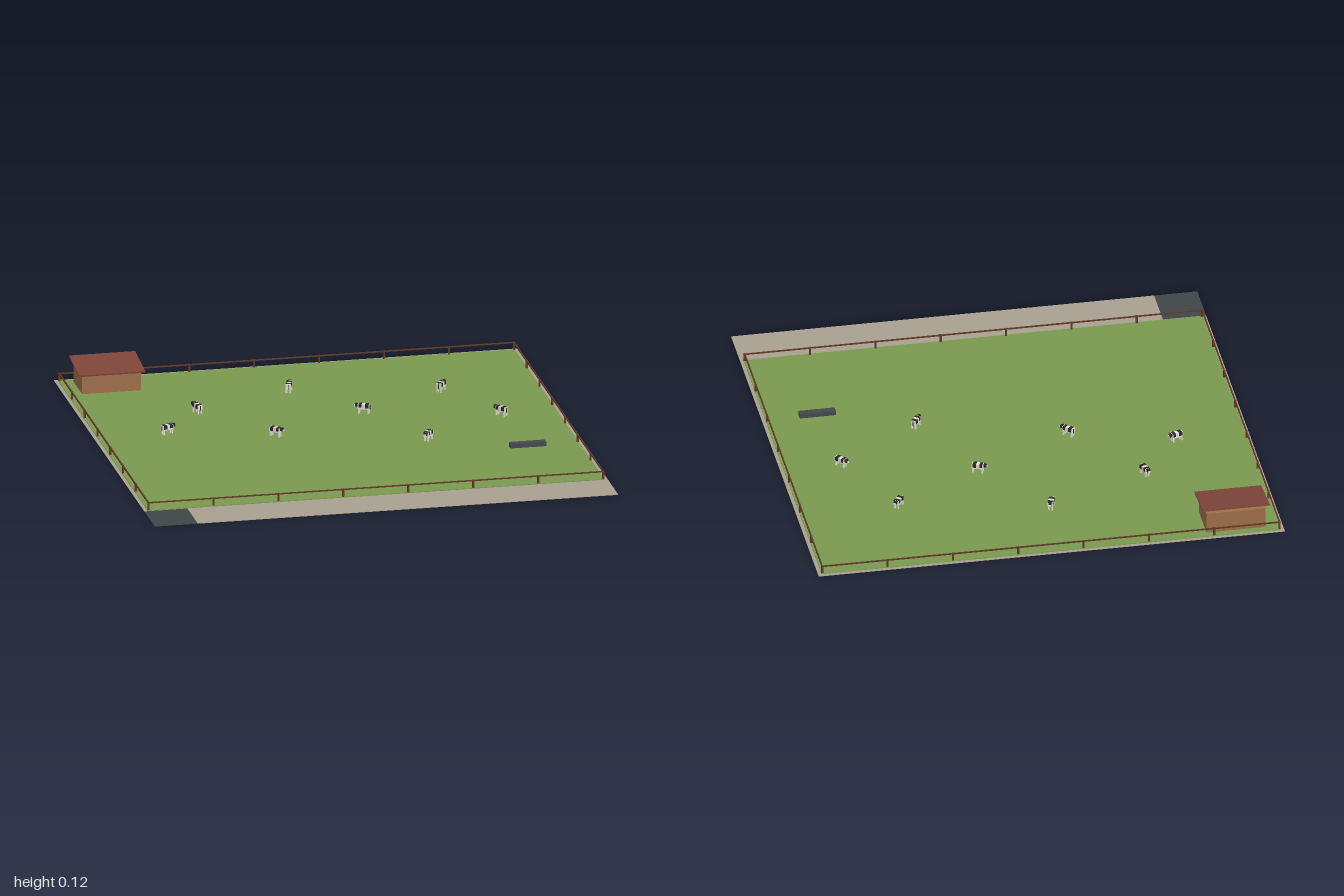
import * as THREE from 'three';

const mat = (name, color) => {
  const m = new THREE.MeshStandardMaterial({ color });
  m.name = name;
  return m;
};

export function createModel() {
  const gravel = mat('gravel', 0xa8a090);
  const grass = mat('grass', 0x7a994f);
  const slate = mat('slate', 0x3f4648);
  const wood = mat('barn wood', 0x9c6f48);
  const roofRed = mat('roof red', 0x7d4438);
  const fenceBrown = mat('fence brown', 0x5f3826);
  const troughGrey = mat('trough grey', 0x44474c);
  const white = mat('cow white', 0xe4e0d8);
  const black = mat('cow black', 0x2b2929);

  const model = new THREE.Group();
  model.name = 'pasture';

  // Box given by its lower and upper corners
  const box = (parent, name, material, [x0, y0, z0], [x1, y1, z1]) => {
    const mesh = new THREE.Mesh(new THREE.BoxGeometry(x1 - x0, y1 - y0, z1 - z0), material);
    mesh.position.set((x0 + x1) / 2, (y0 + y1) / 2, (z0 + z1) / 2);
    mesh.name = name;
    parent.add(mesh);
    return mesh;
  };
  const group = (name) => {
    const g = new THREE.Group();
    g.name = name;
    model.add(g);
    return g;
  };

  // Ground: gravel plate, dark corner pad and the raised lawn
  box(model, 'ground', gravel, [-1, 0, -1], [1, 0.002, 0.797]);
  box(model, 'frontTrack', gravel, [-0.815, 0, 0.797], [1, 0.002, 1]);
  box(model, 'cornerPad', slate, [-1, 0, 0.797], [-0.815, 0.002, 1]);
  box(model, 'lawn', grass, [-0.985, 0.002, -0.985], [0.985, 0.005, 0.795]);

  // Fence: a post at each of seven equal bays, one rail per side
  const fence = group('fence');
  const X = 0.981, Z0 = -0.979, Z1 = 0.789, bays = 7, t = 0.004;
  const post = (x, z) =>
    box(fence, 'fencePost', fenceBrown, [x - t, 0.002, z - t], [x + t, 0.04, z + t]);
  for (let i = 0; i <= bays; i++) {
    const x = -X + (2 * X * i) / bays;
    post(x, Z0);
    post(x, Z1);
    if (i > 0 && i < bays) {
      const z = Z0 + ((Z1 - Z0) * i) / bays;
      post(-X, z);
      post(X, z);
    }
  }
  const r = 0.003;
  for (const z of [Z0, Z1]) box(fence, 'fenceRail', fenceBrown, [-X, 0.034, z - r], [X, 0.039, z + r]);
  for (const x of [-X, X]) box(fence, 'fenceRail', fenceBrown, [x - r, 0.034, Z0], [x + r, 0.039, Z1]);

  // Barn with a single-pitch roof rising to the back
  const barn = group('barn');
  box(barn, 'barnWalls', wood, [-0.925, 0.002, -0.955], [-0.672, 0.096, -0.782]);
  const roof = box(barn, 'barnRoof', roofRed, [-0.942, 0.101, -0.964], [-0.656, 0.107, -0.762]);
  roof.rotation.x = 0.125;

  // Water trough
  box(model, 'trough', troughGrey, [0.685, 0.003, 0.28], [0.84, 0.024, 0.312]);

  // Cow facing +x, about 0.07 long
  const makeCow = () => {
    const cow = group('cow');
    box(cow, 'cowBody', white, [-0.028, 0.024, -0.011], [0.022, 0.045, 0.011]);
    // Dark patches wrap the upper body
    box(cow, 'cowPatch', black, [-0.024, 0.029, -0.0118], [-0.009, 0.0458, 0.0118]);
    box(cow, 'cowPatch', black, [0.006, 0.031, -0.0118], [0.018, 0.0458, 0.0118]);
    box(cow, 'cowHead', black, [0.022, 0.033, -0.006], [0.034, 0.046, 0.006]);
    box(cow, 'cowMuzzle', white, [0.034, 0.033, -0.0045], [0.038, 0.04, 0.0045]);
    box(cow, 'cowTail', black, [-0.0305, 0.022, -0.0012], [-0.028, 0.043, 0.0012]);
    for (const s of [-1, 1]) {
      box(cow, 'cowEar', black, [0.023, 0.043, s * 0.0075 - 0.0025], [0.026, 0.047, s * 0.0075 + 0.0025]);
      for (const x of [-0.023, 0.017])
        box(cow, 'cowLeg', white, [x - 0.003, 0.004, s * 0.0075 - 0.003], [x + 0.003, 0.024, s * 0.0075 + 0.003]);
    }
    return cow;
  };

  // Each herd entry: x, z, then the heading dx, dz
  const herd = [
    [-0.065, -0.635, 4, -12], [-0.505, -0.44, -4, -11], [-0.685, -0.19, 14, -5], [-0.245, -0.06, 11, 10],
    [0.18, -0.287, -14, -6], [0.565, -0.505, 9, -12], [0.74, -0.133, -10, -11], [0.37, 0.127, -9, 12],
  ];
  for (const [x, z, dx, dz] of herd) {
    const cow = makeCow();
    cow.position.set(x, 0, z);
    cow.rotation.y = Math.atan2(-dz, dx);
  }
  return model;
}
